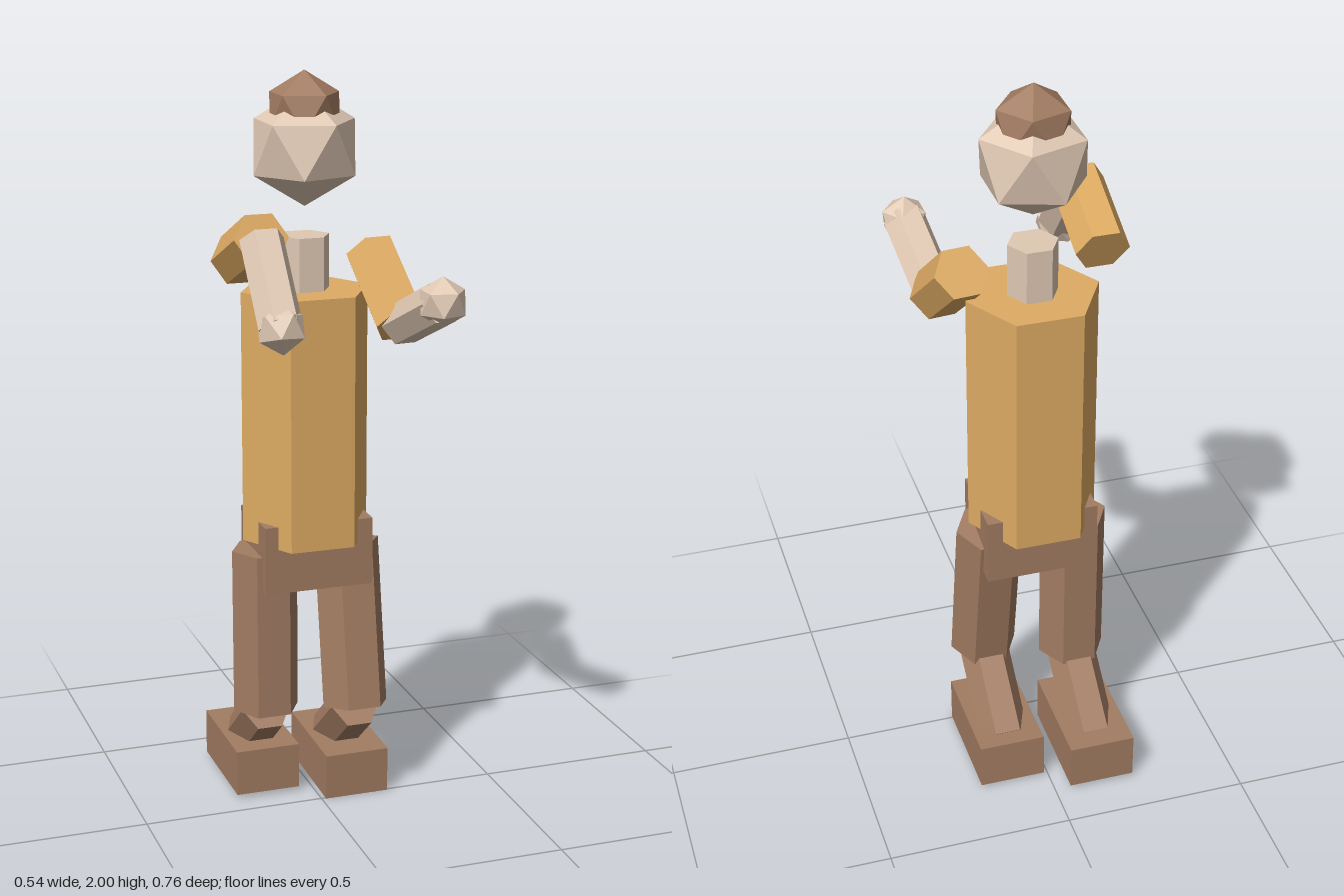
import * as THREE from 'three';

const flat = (name, color) => {
  const m = new THREE.MeshStandardMaterial({ color, flatShading: true });
  m.name = name;
  return m;
};

export function createModel() {
  const skin = flat('skin', 0xe0c9b4);
  const shirt = flat('shirt', 0xdeab63);
  const brown = flat('brown', 0xa27c62);

  const model = new THREE.Group();
  model.name = 'figure';

  const add = (name, geometry, material, x, y, z) => {
    const mesh = new THREE.Mesh(geometry, material);
    mesh.name = name;
    mesh.position.set(x, y, z);
    model.add(mesh);
    return mesh;
  };

  // Six-sided prism from a to b, with two of its edges facing sideways
  const prism = (name, material, radius, a, b) => {
    const p = new THREE.Vector3(...a), q = new THREE.Vector3(...b);
    const d = q.clone().sub(p), length = d.length();
    const geometry = new THREE.CylinderGeometry(radius, radius, length, 6).rotateY(Math.PI / 6);
    const mid = p.add(q).multiplyScalar(0.5);
    const mesh = add(name, geometry, material, mid.x, mid.y, mid.z);
    mesh.rotation.set(Math.acos(d.y / length), Math.atan2(d.x, d.z), 0, 'YXZ');
    return mesh;
  };

  // Icosahedron standing on a corner
  const ball = (name, material, radius, x, y, z) => add(name,
    new THREE.IcosahedronGeometry(radius).rotateZ(-Math.atan(2 / (1 + Math.sqrt(5)))),
    material, x, y, z);

  const cx = -0.016, cz = -0.091;

  // Head, hair, neck, torso and hips
  ball('head', skin, 0.154, cx, 1.802, cz);
  ball('hair', brown, 0.106, cx, 1.894, cz);
  prism('neck', skin, 0.067, [cx, 1.4, cz], [cx, 1.573, cz]);
  prism('torso', shirt, 0.176, [cx, 0.75, cz], [cx, 1.43, cz]);
  add('hips', new THREE.BoxGeometry(0.302, 0.186, 0.222), brown, -0.013, 0.72, -0.09);

  // Legs: knee position and foot placement differ on each side
  const legs = [
    { side: 'left', x: 0.101, kneeY: 0.27, kneeZ: -0.009, footY: 0.068, footZ: -0.149, tilt: 0.026 },
    { side: 'right', x: -0.133, kneeY: 0.262, kneeZ: -0.085, footY: 0.076, footZ: -0.227, tilt: 0 },
  ];
  for (const { side, x, kneeY, kneeZ, footY, footZ, tilt } of legs) {
    prism(side + 'Thigh', brown, 0.092, [x, 0.722, -0.087], [x, kneeY, kneeZ]);
    prism(side + 'Shin', brown, 0.069, [x, kneeY - 0.003, kneeZ], [x, kneeY - 0.178, kneeZ - 0.21]);
    const foot = add(side + 'Foot', new THREE.BoxGeometry(0.18, 0.128, 0.312), brown, x + 0.001, footY, footZ);
    foot.rotation.x = tilt;
  }

  // Arms: shoulder, elbow and hand points
  const arms = [
    { side: 'left', shoulder: [0.169, 1.515, -0.092], elbow: [0.188, 1.357, 0.093], hand: [0.21, 1.461, 0.32], tilt: 0 },
    { side: 'right', shoulder: [-0.2, 1.518, -0.092], elbow: [-0.2, 1.611, 0.123], hand: [-0.2, 1.415, 0.28], tilt: -0.3 },
  ];
  for (const { side, shoulder, elbow, hand, tilt } of arms) {
    prism(side + 'UpperArm', shirt, 0.072, shoulder, elbow);
    prism(side + 'Forearm', skin, 0.058, elbow, hand);
    ball(side + 'Hand', skin, 0.066, ...hand).rotation.x = tilt;
  }

  return model;
}
